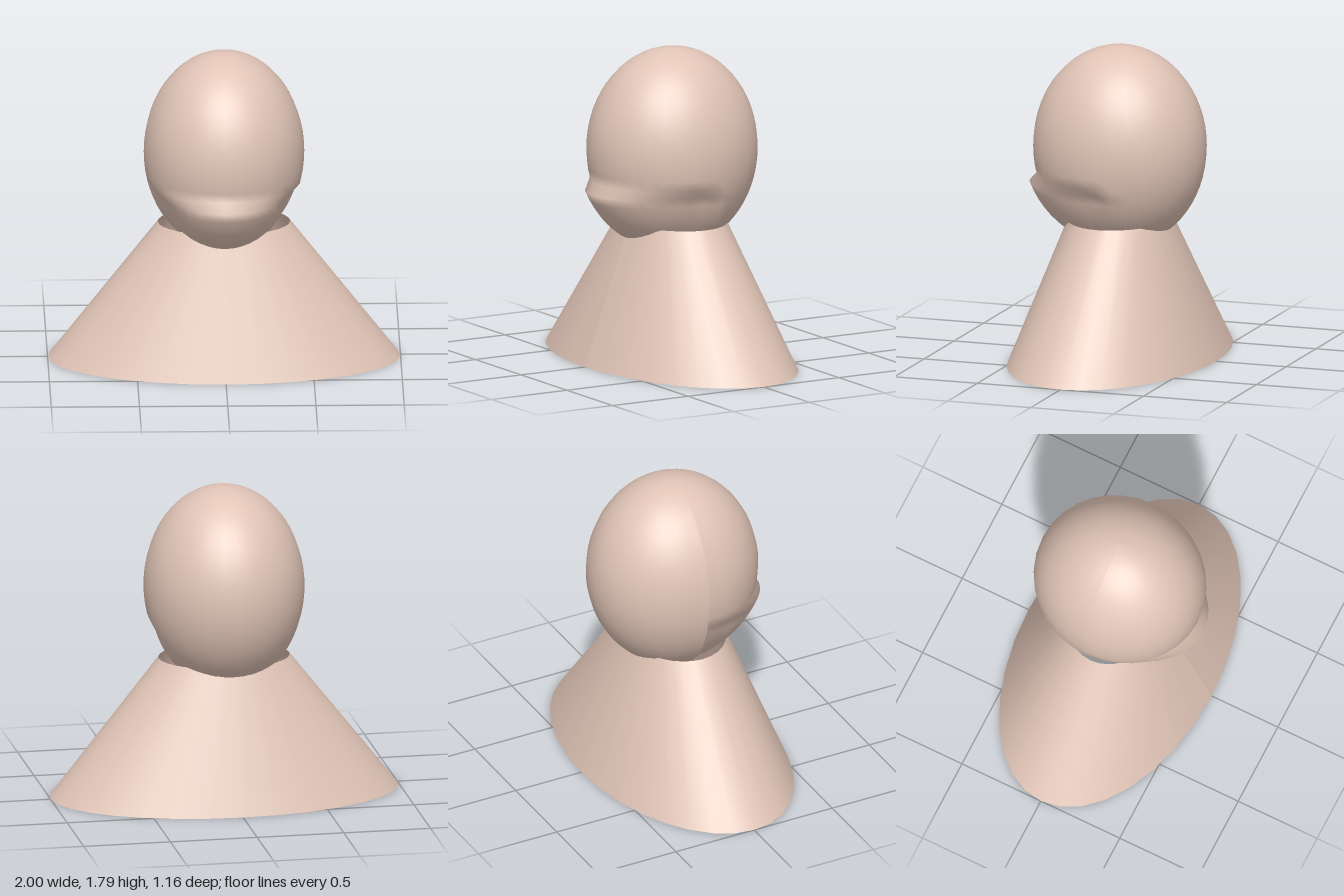
import * as THREE from 'three';

// Applies a rule to every vertex, then refreshes the smooth normals.
function reshape(geometry, rule) {
  const pos = geometry.attributes.position;
  const v = new THREE.Vector3();
  for (let i = 0; i < pos.count; i++) {
    rule(v.fromBufferAttribute(pos, i));
    pos.setXYZ(i, v.x, v.y, v.z);
  }
  geometry.computeVertexNormals();
  return geometry;
}

export function createModel() {
  const group = new THREE.Group();
  group.name = 'bust';
  const skin = new THREE.MeshStandardMaterial({ color: 0xe0c4b6, side: THREE.DoubleSide });
  skin.name = 'skin';

  // Shoulders: open oval cone, narrowing faster in width than in depth
  const height = 0.795;
  const shoulderGeometry = reshape(
    new THREE.CylinderGeometry(1, 1, height, 32, 1, true),
    (v) => {
      const top = v.y > 0;
      v.x *= top ? 0.375 : 1;
      v.z *= top ? 0.286 : 0.58;
    }
  );
  const shoulders = new THREE.Mesh(shoulderGeometry, skin);
  shoulders.name = 'shoulders';
  shoulders.position.y = height / 2;
  group.add(shoulders);

  // Head: egg shape whose lower front is drawn in and pushed forward as a jaw
  const headGeometry = reshape(new THREE.SphereGeometry(1, 32, 32), (v) => {
    if (v.y < -0.34 && v.z > 0) {
      v.x *= 0.9;
      v.z *= 1.15;
    }
    v.set(v.x * 0.455, v.y * 0.582, v.z * 0.498);
  });
  const head = new THREE.Mesh(headGeometry, skin);
  head.name = 'head';
  head.position.y = 1.21;
  group.add(head);

  return group;
}
